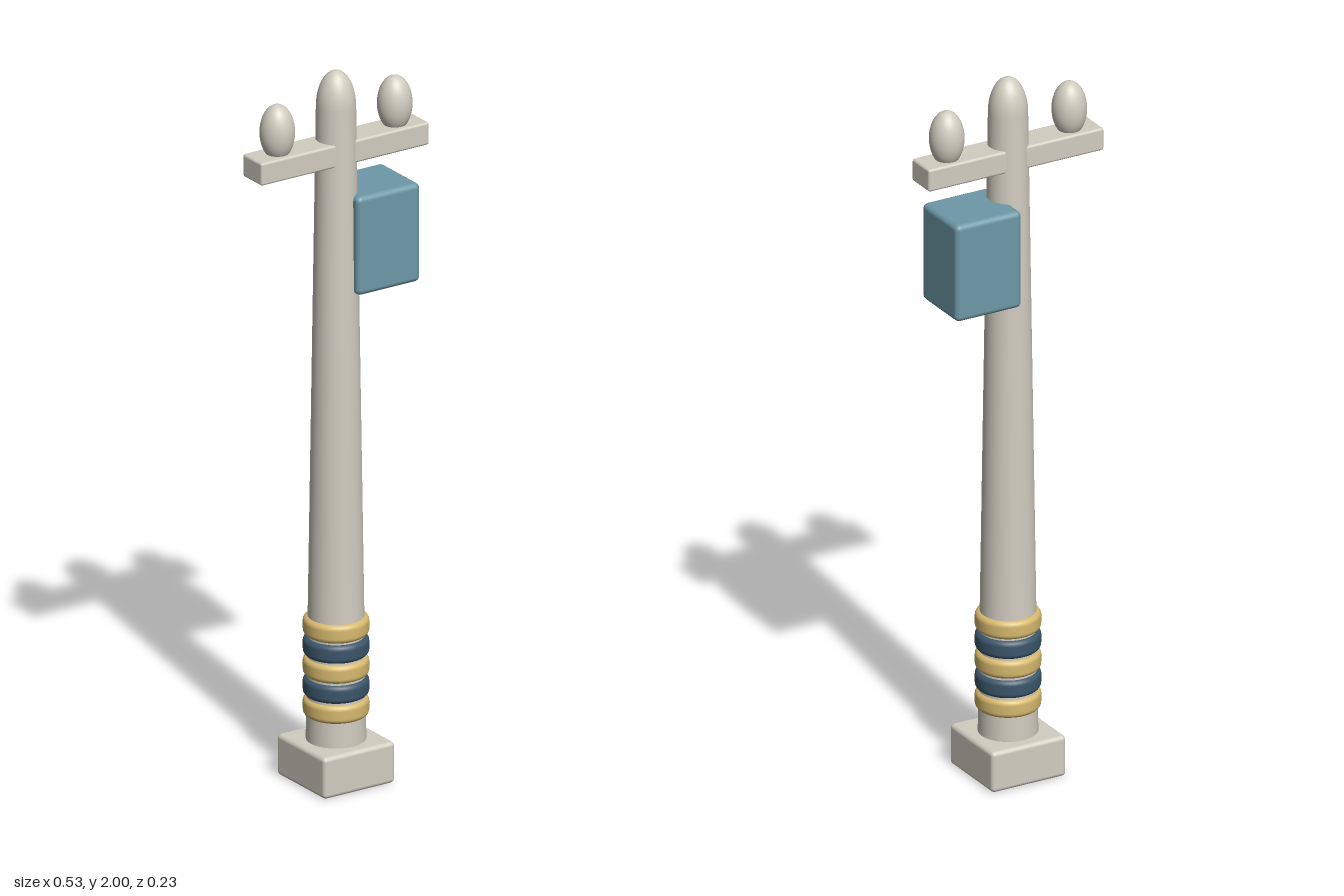
import * as THREE from 'three';
import { RoundedBoxGeometry } from 'three/addons/geometries/RoundedBoxGeometry.js';

const material = (name, color) => {
  const m = new THREE.MeshStandardMaterial({ color });
  m.name = name;
  return m;
};

export function createModel() {
  const group = new THREE.Group();
  const concrete = material('concrete', 0xd2cdc0);
  const steelBlue = material('steelBlue', 0x6e98a7);
  const gold = material('gold', 0xd6b96e);
  const navy = material('navy', 0x3b566b);

  const add = (name, geometry, mat, x = 0, y = 0, z = 0) => {
    const mesh = new THREE.Mesh(geometry, mat);
    mesh.name = name;
    mesh.position.set(x, y, z);
    group.add(mesh);
    return mesh;
  };
  const block = (w, h, d, r) => new RoundedBoxGeometry(w, h, d, 3, r);

  // Square footing
  add('base', block(0.226, 0.116, 0.226, 0.012), concrete, 0, 0.058, 0);

  // Tapered pole with a domed cap
  const pole = [[0.08, 0.1], [0.053, 1.9]].map(p => new THREE.Vector2(...p));
  for (let i = 1; i <= 10; i++) {
    const a = (i / 10) * Math.PI / 2;
    pole.push(new THREE.Vector2(i === 10 ? 0 : 0.053 * Math.cos(a), 1.9 + 0.1 * Math.sin(a)));
  }
  add('pole', new THREE.LatheGeometry(pole, 40), concrete);

  // Striped bands with rounded rims
  const band = [new THREE.Vector2(0.065, -0.026)];
  for (const side of [-1, 1]) {
    for (let i = 0; i <= 5; i++) {
      const a = (side < 0 ? i / 5 - 1 : i / 5) * Math.PI / 2;
      band.push(new THREE.Vector2(0.073 + 0.0145 * Math.cos(a), side * 0.0115 + 0.0145 * Math.sin(a)));
    }
  }
  band.push(new THREE.Vector2(0.065, 0.026));
  for (let i = 0; i < 5; i++) {
    add('band' + (i + 1), new THREE.LatheGeometry(band, 40), i % 2 ? navy : gold, 0, 0.21 + i * 0.0567, 0);
  }

  // Crossarm and its insulators
  add('crossarm', block(0.532, 0.064, 0.09, 0.007), concrete, 0, 1.777, 0);
  for (const side of [-1, 1]) {
    const knob = add(side > 0 ? 'leftInsulator' : 'rightInsulator',
      new THREE.SphereGeometry(1, 32, 20), concrete, side * 0.186, 1.867, 0);
    knob.scale.set(0.047, 0.078, 0.047);
  }

  // Equipment box on the left side
  add('equipmentBox', block(0.2, 0.278, 0.184, 0.015), steelBlue, 0.118, 1.519, -0.015);

  return group;
}
